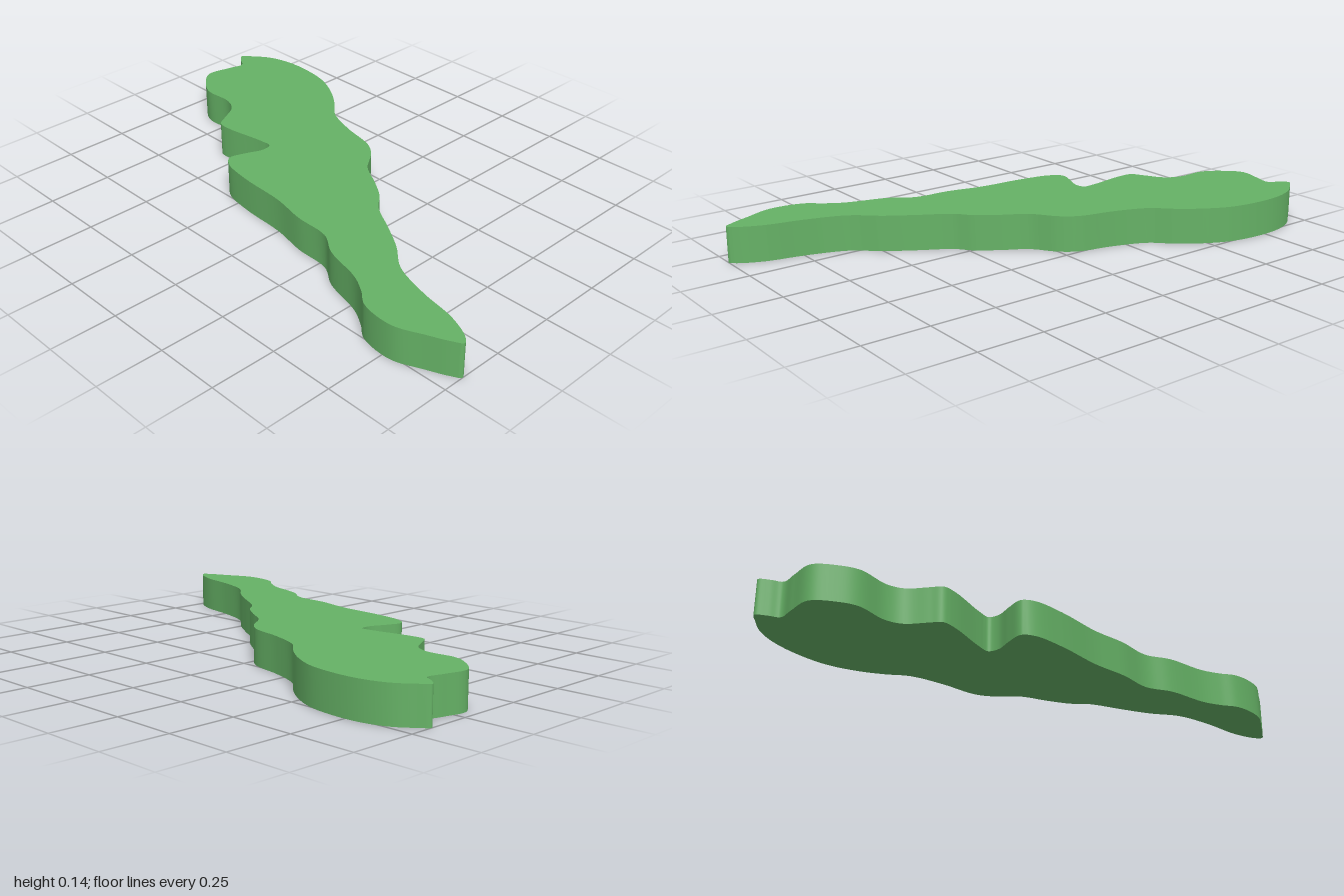
import * as THREE from 'three';
import { toCreasedNormals } from 'three/addons/utils/BufferGeometryUtils.js';

const HEIGHT = 0.135;

// Plan outline as [x, z] points, clockwise seen from above
const OUTLINE = [
  // back edge, from the left tip to the narrow end
  [-1, -0.41], [-0.97, -0.44], [-0.9, -0.49], [-0.785, -0.519], [-0.6, -0.505],
  [-0.485, -0.455], [-0.395, -0.39], [-0.325, -0.325], [-0.2, -0.277], [-0.06, -0.243],
  [0, -0.2], [0.065, -0.115], [0.155, -0.06], [0.235, -0.003], [0.285, 0.055],
  [0.4, 0.125], [0.5, 0.19], [0.595, 0.27], [0.74, 0.32], [0.89, 0.352], [0.98, 0.395],
  [1, 0.42],
  // front edge, back towards the notch
  [0.97, 0.44], [0.89, 0.475], [0.785, 0.515], [0.655, 0.5], [0.595, 0.455],
  [0.525, 0.415], [0.37, 0.37], [0.28, 0.315], [0.14, 0.305], [0, 0.277],
  [-0.19, 0.265], [-0.315, 0.24], [-0.352, 0.205], [-0.335, 0.14], [-0.31, 0.075],
  // notch and broad end
  [-0.318, 0.035], [-0.37, 0.035], [-0.53, 0.06], [-0.585, 0.055], [-0.61, 0.015],
  [-0.655, -0.06], [-0.715, -0.09], [-0.835, -0.09], [-0.9, -0.125], [-0.963, -0.195],
  [-0.948, -0.29], [-0.935, -0.355], [-0.97, -0.38],
];

export function createModel() {
  const group = new THREE.Group();
  group.name = 'wavySlab';

  // Smooth closed curve through the outline
  const curve = new THREE.CatmullRomCurve3(
    OUTLINE.map(([x, z]) => new THREE.Vector3(x, -z, 0)), true, 'centripetal');
  const points = curve.getPoints(OUTLINE.length * 6).slice(0, -1);
  const shape = new THREE.Shape(points.map((p) => new THREE.Vector2(p.x, p.y)));

  // Flat slab with smooth walls and sharp rims
  const geometry = new THREE.ExtrudeGeometry(shape, { depth: HEIGHT, bevelEnabled: false });
  geometry.rotateX(-Math.PI / 2);
  const slab = new THREE.Mesh(
    toCreasedNormals(geometry, Math.PI / 5),
    new THREE.MeshStandardMaterial({ color: 0x66b266 }));
  slab.name = 'slab';
  group.add(slab);

  return group;
}
